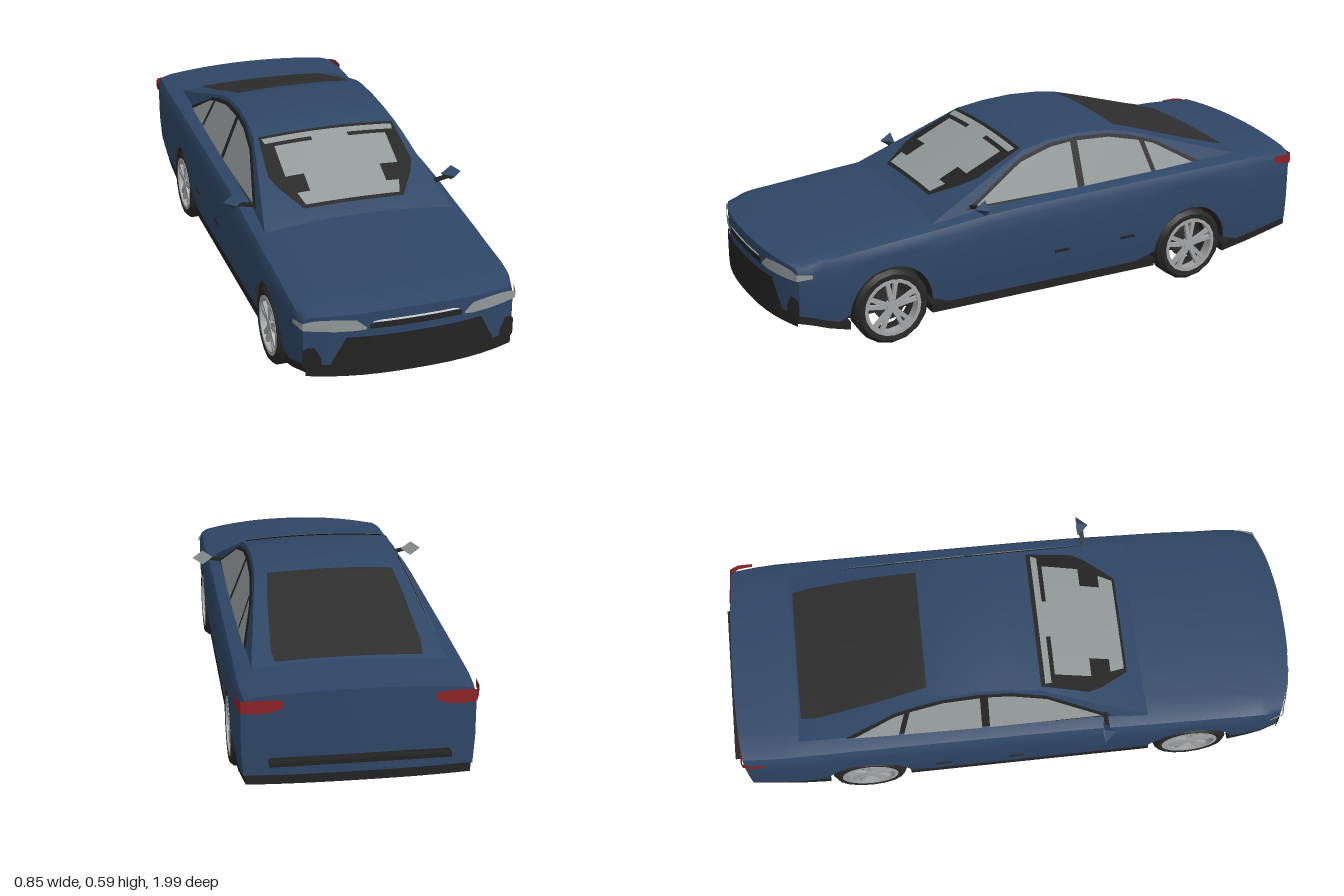
import * as THREE from 'three';
import { toCreasedNormals } from 'three/addons/utils/BufferGeometryUtils.js';

const paint = (name, color) => {
  const m = new THREE.MeshStandardMaterial({ color, side: THREE.DoubleSide });
  m.name = name;
  return m;
};
const blue = paint('bluePaint', 0x2f4666), black = paint('blackTrim', 0x232323), tyreMat = paint('tyreRubber', 0x272727);
const glass = paint('paleGlass', 0x929898), tint = paint('darkGlass', 0x2e2e2e), silver = paint('silver', 0xa2a4a6);
const red = paint('redLamp', 0x8c2226), white = paint('brightTrim', 0xe4e6e6);

const { lerp, clamp, smoothstep } = THREE.MathUtils;
// Piecewise linear lookup in [key, value] pairs with falling keys
function look(table, k) {
  if (k >= table[0][0]) return table[0][1];
  for (let i = 1; i < table.length; i++) {
    const [k0, v0] = table[i - 1], [k1, v1] = table[i];
    if (k >= k1) return lerp(v0, v1, (k0 - k) / (k0 - k1));
  }
  return table[table.length - 1][1];
}
// Skin over rows of points
function surface(rows, crease = 0.6) {
  const n = rows[0].length, index = [];
  for (let r = 0; r < rows.length - 1; r++) for (let i = 0; i < n - 1; i++) {
    const a = r * n + i, b = a + 1, c = a + n, d = c + 1;
    index.push(a, c, b, b, c, d);
  }
  const g = new THREE.BufferGeometry();
  g.setAttribute('position', new THREE.Float32BufferAttribute(rows.flat(2), 3));
  g.setIndex(index);
  return toCreasedNormals(g, crease);
}

// Body rules
const WIDTH = [[0.985, 0.345], [0.93, 0.36], [0.8, 0.367], [0.6, 0.372], [-0.85, 0.372], [-0.965, 0.362]];
const SHOULDER = [[0.985, 0.32], [0.9, 0.34], [0.6, 0.367], [0.35, 0.388], [0.2, 0.403], [-0.5, 0.42], [-0.8, 0.425], [-0.965, 0.42]];
const WHEELS = [0.615, -0.535], ARCH = 0.145, AXLE = 0.132;
const F = Array.from({ length: 13 }, (_, i) => i / 6 - 1);
const rise = z => Math.max(0, z - 0.76) * 0.22 + Math.max(0, -z - 0.68) * 0.18;
const bow = x => Math.pow(Math.abs(x) / 0.36, 2.5);
const warp = (x, y, z) => [x, y, z - bow(x) * (0.065 * smoothstep(z, 0.78, 0.985) - 0.015 * smoothstep(-z, 0.7, 0.965))];
function sideProfile(z) {
  const w = look(WIDTH, z), ys = look(SHOULDER, z), nose = smoothstep(z, 0.6, 0.985);
  let yb = 0.105 + rise(z);
  for (const c of WHEELS) {
    const q = ARCH * ARCH - (z - c) ** 2;
    if (q > -1e-6) yb = Math.max(yb, AXLE + Math.sqrt(Math.max(0, q)));
  }
  const pts = [0, 0.4, 0.8, 1].map(t => {
    const y = lerp(yb, ys - 0.035, t);
    return [w * (1 - 0.04 * clamp((0.2 - y) / 0.1, 0, 1)), y];
  });
  pts.push([w * lerp(0.965, 0.985, nose), ys - 0.01], [w * lerp(0.87, 0.95, nose), ys]);
  return pts;
}
const crown = f => 0.016 * (1 - f * f);
function bodySection(z) {
  const side = sideProfile(z), [xt, yt] = side[side.length - 1], low = side.slice(0, -1);
  return [...low.map(([x, y]) => warp(-x, y, z)),
    ...F.map(f => warp(f * xt, yt + crown(f), z)),
    ...low.reverse().map(([x, y]) => warp(x, y, z))];
}
const endFace = z => sideProfile(z).map(([x, y], j, all) =>
  F.map(f => warp(f * x, y + (j === all.length - 1 ? crown(f) : 0), z)));

// Cabin rules: flat leaning sides below a curved roof line
const ROOF = [[0.46, 0.375], [0.42, 0.3955], [0.08, 0.555], [-0.02, 0.572], [-0.13, 0.579], [-0.25, 0.572], [-0.32, 0.56],
  [-0.4, 0.536], [-0.55, 0.488], [-0.67, 0.45], [-0.76, 0.424], [-0.82, 0.4]];
const cabinX = y => 0.319 - (y - 0.4) * 0.4;
const roofY = (x, z) => {
  const e = look(ROOF, z);
  return e + 0.012 * (1 - (x / cabinX(e)) ** 2);
};

export function createModel() {
  const car = new THREE.Group();
  car.name = 'saloonCar';
  const add = (name, geo, mat, parent = car) => {
    const m = new THREE.Mesh(geo, mat);
    m.name = name;
    parent.add(m);
    return m;
  };

  // Painted shell with wheel arches
  const stations = [-0.965, -0.94, -0.88, -0.8, -0.74, -0.3, -0.1, 0.1, 0.25, 0.4, 0.8, 0.84, 0.88, 0.92, 0.95, 0.985];
  for (const c of WHEELS) for (let k = 0; k <= 12; k++) stations.push(c + ARCH * Math.cos(k * Math.PI / 12));
  stations.sort((a, b) => a - b);
  add('bodyShell', surface(stations.map(bodySection)), blue);
  add('frontFace', surface(endFace(0.985).reverse()), blue);
  add('rearFace', surface(endFace(-0.965)), blue);

  // Underbody and sills, narrowed between the wheels
  const floorRow = (z, narrow, flat) => {
    const w = narrow ? 0.27 : look(WIDTH, z) * 0.965, y0 = 0.078 + rise(z), y1 = flat ? y0 : y0 + 0.03;
    const loop = [...F.map(f => [f * w, y1]), ...F.map(f => [-f * w, y0]), [-w, y1]];
    return loop.map(([x, y]) => warp(x, y, z));
  };
  const [wf, wr] = WHEELS, A = ARCH;
  const floorRows = [[-0.967, 0, 1], [-0.967], [-0.8], [wr - A], [wr - A, 1], [wr + A, 1], [wr + A], [wf - A], [wf - A, 1],
    [wf + A, 1], [wf + A], [0.85], [0.93], [0.988], [0.988, 0, 1]];
  add('underbody', surface(floorRows.map(r => floorRow(...r))), black);

  // Cabin
  add('cabin', surface(ROOF.slice().reverse().map(([z, e]) => {
    const yb = Math.min(e, 0.4) - 0.02, xe = cabinX(e);
    return [[-cabinX(yb), yb, z], ...F.map(f => [f * xe, roofY(f * xe, z), z]), [cabinX(yb), yb, z]];
  })), blue);

  // Panes lying on the roof surface; outline is [z, half width] from rear to front
  const roofPane = (name, outline, mat, off) => {
    const rows = [];
    for (let i = 0; i < outline.length - 1; i++) for (let k = 0; k <= 6; k++) {
      const z = lerp(outline[i][0], outline[i + 1][0], k / 6), w = lerp(outline[i][1], outline[i + 1][1], k / 6);
      rows.push(F.map(f => [f * w, roofY(f * w, z) + off, z]));
    }
    add(name, surface(rows), mat);
  };
  roofPane('windscreenBorder', [[0.085, 0.243], [0.25, 0.255], [0.3, 0.235], [0.395, 0.175]], black, 0.004);
  roofPane('windscreenGlass', [[0.1, 0.235], [0.122, 0.23], [0.122, 0.065], [0.137, 0.065], [0.137, 0.2], [0.265, 0.2],
    [0.265, 0.135], [0.335, 0.135], [0.335, 0.18], [0.385, 0.165]], glass, 0.008);
  roofPane('rearWindow', [[-0.3, 0.21], [-0.45, 0.226], [-0.68, 0.24], [-0.74, 0.233]], tint, 0.005);

  // Plates on the nose or tail; columns are [x, low y, high y, optional z]
  const endPlate = (name, cols, mat, rear) => add(name, surface(cols.map(([x, lo, hi, z]) =>
    [lo, hi].map(y => z === undefined
      ? [x, y, rear ? -0.97 + 0.015 * bow(x) : 0.991 - 0.065 * bow(x)] : [x, y, z]))), mat);
  const across = (w, lo, hi, hiEnd = hi) => F.map(f => [f * w, lo, Math.abs(f) > 0.95 ? hiEnd : hi]);
  endPlate('lowerGrille', across(0.265, 0.135, 0.255, 0.17), black);
  endPlate('frontLip', across(0.34, 0.12, 0.16), black);
  endPlate('upperGrille', across(0.15, 0.28, 0.3, 0.295), black);
  endPlate('grilleBrightStrip', across(0.14, 0.301, 0.308, 0.304), white);
  add('rearBumperStrip', new THREE.BoxGeometry(0.56, 0.014, 0.036), black).position.set(0, 0.213, -0.982);

  for (const s of [1, -1]) {
    const side = s > 0 ? 'left' : 'right';
    const m = cols => cols.map(([x, ...rest]) => [s * x, ...rest]);
    // Lamps and corner vents
    endPlate(side + 'Headlamp', m([[0.16, 0.28, 0.287], [0.19, 0.276, 0.312], [0.25, 0.275, 0.316], [0.3, 0.276, 0.314],
      [0.325, 0.277, 0.31], [0.35, 0.28, 0.304, 0.935], [0.366, 0.287, 0.3, 0.885]]), glass);
    endPlate(side + 'CornerVent', m([[0.295, 0.13, 0.185], [0.315, 0.13, 0.22], [0.335, 0.14, 0.218], [0.349, 0.15, 0.205, 0.93]]), black);
    endPlate(side + 'TailLamp', m([[0.235, 0.385, 0.408], [0.27, 0.37, 0.412], [0.32, 0.366, 0.411], [0.362, 0.37, 0.408, -0.957],
      [0.374, 0.377, 0.41, -0.93], [0.375, 0.385, 0.409, -0.88]]), red, true);

    // Side windows on the leaning cabin plane, outlined by [z, y]
    const sidePane = (name, pts, mat, off) => {
      const g = new THREE.ShapeGeometry(new THREE.Shape(pts.map(p => new THREE.Vector2(...p))));
      const p = g.attributes.position;
      for (let i = 0; i < p.count; i++) {
        const z = p.getX(i), y = p.getY(i);
        p.setXYZ(i, s * (cabinX(y) + off), y, z);
      }
      g.computeVertexNormals();
      add(side + name, g, mat);
    };
    sidePane('WindowFrame', [[0.325, 0.402], [0.1, 0.532], [-0.02, 0.562], [-0.13, 0.569], [-0.25, 0.562], [-0.33, 0.546],
      [-0.42, 0.519], [-0.6, 0.42], [-0.58, 0.41]], black, 0.003);
    sidePane('FrontDoorGlass', [[0.29, 0.411], [0.1, 0.521], [-0.02, 0.552], [-0.098, 0.558], [-0.098, 0.411]], glass, 0.007);
    sidePane('RearDoorGlass', [[-0.125, 0.411], [-0.125, 0.558], [-0.25, 0.552], [-0.365, 0.525], [-0.395, 0.415]], glass, 0.007);
    sidePane('QuarterGlass', [[-0.412, 0.418], [-0.385, 0.519], [-0.42, 0.508], [-0.565, 0.424]], glass, 0.007);

    // Door handles
    for (const z of [-0.01, -0.27])
      add(side + 'DoorHandle', new THREE.BoxGeometry(0.006, 0.009, 0.055), black).position.set(s * 0.373, 0.215, z);

    // Door mirror: pointed housing with glass facing back
    const housing = new THREE.ConeGeometry(1, 1, 4).toNonIndexed();
    housing.computeVertexNormals();
    housing.rotateX(Math.PI / 2).scale(0.037, 0.027, 0.04);
    add(side + 'Mirror', housing, [blue, blue, glass]).position.set(s * 0.388, 0.428, 0.308);
    const stem = add(side + 'MirrorStem', new THREE.BoxGeometry(0.08, 0.01, 0.015), black);
    stem.position.set(s * 0.34, 0.416, 0.302);
    stem.rotation.z = s * 0.2;

    for (const z of WHEELS) {
      // Dark wheel well
      const liner = new THREE.CylinderGeometry(0.144, 0.144, 0.105, 20, 1, true, Math.PI, Math.PI);
      add('wheelWell', liner.rotateZ(-Math.PI / 2), black).position.set(s * 0.308, AXLE, z);
      const back = new THREE.CircleGeometry(0.144, 20, 0, Math.PI);
      add('wheelWellBack', back.rotateY(Math.PI / 2), black).position.set(s * 0.257, AXLE, z);
      car.add(makeWheel(add, s, z));
    }
  }
  return car;
}

// Wheel with open five-spoke rim, outer side towards +x before mirroring
function makeWheel(add, s, z) {
  const wheel = new THREE.Group();
  wheel.name = (z > 0 ? 'front' : 'rear') + (s > 0 ? 'Left' : 'Right') + 'Wheel';
  wheel.position.set(s * 0.325, 0.131, z);
  if (s < 0) wheel.rotation.y = Math.PI;
  const ring = (pts, sides) => toCreasedNormals(new THREE.LatheGeometry(
    [...pts, pts[0]].map(p => new THREE.Vector2(...p)), sides).rotateZ(-Math.PI / 2), 0.5);
  add('tyre', ring([[0.118, -0.046], [0.131, -0.03], [0.131, 0.03], [0.118, 0.045], [0.099, 0.042], [0.099, -0.046]], 16), tyreMat, wheel);
  add('rimRing', ring([[0.1, 0.0], [0.1, 0.044], [0.088, 0.044], [0.093, 0.0]], 20), silver, wheel);
  add('hub', new THREE.CylinderGeometry(0.02, 0.022, 0.02, 10).rotateZ(-Math.PI / 2), silver, wheel).position.x = 0.03;
  add('brakeDisc', new THREE.CylinderGeometry(0.055, 0.055, 0.012, 16).rotateZ(-Math.PI / 2), tint, wheel).position.x = 0.005;
  for (let k = 0; k < 5; k++) for (const d of [-1, 1]) {
    const spoke = new THREE.BoxGeometry(0.012, 0.08, 0.014).translate(0.032, 0.052, 0);
    add('spoke', spoke, silver, wheel).rotation.x = k * Math.PI * 0.4 + d * 0.17;
  }
  return wheel;
}
